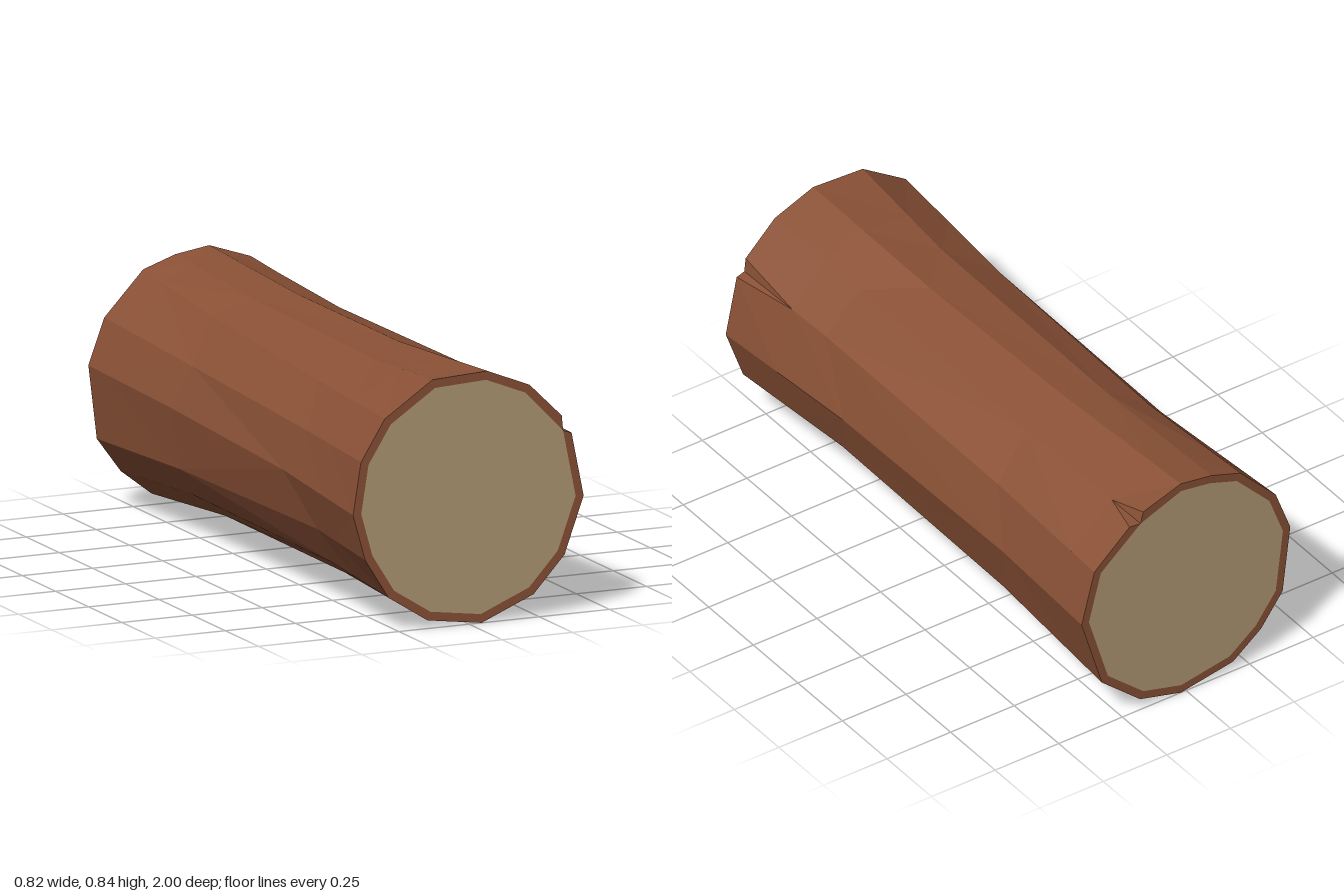
import * as THREE from 'three';

const CY = 0.422; // height of the log's axis
const N = 14;

// Outlines of the two sawn ends, clockwise seen from the front
const FRONT = [[0.065, 0.833], [0.215, 0.773], [0.35, 0.63], [0.408, 0.388], [0.34, 0.2],
  [0.23, 0.08], [0.045, 0.003], [-0.148, 0.03], [-0.287, 0.118], [-0.37, 0.25],
  [-0.413, 0.402], [-0.385, 0.575], [-0.3, 0.71], [-0.13, 0.823]];
const BACK = [[0.02, 0.84], [0.195, 0.77], [0.36, 0.63], [0.41, 0.44], [0.33, 0.175],
  [0.18, 0.045], [0.02, 0.003], [-0.185, 0.04], [-0.295, 0.125], [-0.38, 0.24],
  [-0.41, 0.485], [-0.353, 0.638], [-0.215, 0.783], [-0.1, 0.822]];

// Wedge-shaped cracks: the two lips, the floor and the depth of the tip
const CRACKS = {
  front: { col: 2, z: 1, tip: 0.73, a: [0.33, 0.66], b: [0.365, 0.6], floor: [0.335, 0.61] },
  back: { col: 1, z: -1, tip: -0.86, a: [0.168, 0.79], b: [0.222, 0.752], floor: [0.178, 0.748] },
};

const v = ([x, y], z) => new THREE.Vector3(x, y, z);

// Small seeded generator for the hewn unevenness, -1..1
function seeded(seed) {
  return () => {
    seed = (seed * 16807) % 2147483647;
    return (seed / 2147483647) * 2 - 1;
  };
}

function meshFromTriangles(name, points, material) {
  const geometry = new THREE.BufferGeometry().setFromPoints(points);
  geometry.computeVertexNormals();
  const mesh = new THREE.Mesh(geometry, material);
  mesh.name = name;
  return mesh;
}

// Lengthwise edges of the bark, narrowing toward the middle
function makeColumns() {
  const rand = seeded(41);
  return FRONT.map((f, k) => {
    const front = v(f, 1), back = v(BACK[k], -1);
    const waist = (z) => {
      const p = front.clone().lerp(back, (1 - z) / 2);
      const s = 0.925 + rand() * 0.012;
      return new THREE.Vector3(p.x * s, CY + (p.y - CY) * s, z);
    };
    const m1 = waist(0.48 + rand() * 0.11);
    const m2 = waist(-0.46 + rand() * 0.1);
    const at = (p, q, z) => p.clone().lerp(q, (z - p.z) / (q.z - p.z));
    return [front, at(front, m1, CRACKS.front.tip), m1, m2,
      at(m2, back, CRACKS.back.tip), back];
  });
}

// A column with its end corners moved to one lip of a crack
function lipColumn(columns, k, lip) {
  const col = columns[k].slice();
  if (k === CRACKS.front.col) col[0] = v(CRACKS.front[lip], 1);
  if (k === CRACKS.back.col) col[5] = v(CRACKS.back[lip], -1);
  return col;
}

// Inner edge of the bark at one end
function innerRing(outline, crack) {
  return outline.map(([x, y], k) => (k === crack.col ? crack.floor
    : [x * 0.93, CY + (y - CY) * 0.93]));
}

export function createModel() {
  const group = new THREE.Group();
  group.name = 'log';
  const bark = new THREE.MeshStandardMaterial({ color: 0x8a5136, flatShading: true, side: THREE.DoubleSide });
  const wood = new THREE.MeshStandardMaterial({ color: 0xb39a75, flatShading: true, side: THREE.DoubleSide });
  const columns = makeColumns();

  // Bark, alternating the diagonal so the facets look chopped
  const skin = [];
  for (let k = 0; k < N; k++) {
    const l = lipColumn(columns, k, 'b');
    const r = lipColumn(columns, (k + 1) % N, 'a');
    for (let j = 0; j < 5; j++) {
      if ((k + (j > 2 ? 1 : 0)) % 2) skin.push(l[j], r[j], l[j + 1], r[j], r[j + 1], l[j + 1]);
      else skin.push(l[j], r[j], r[j + 1], l[j], r[j + 1], l[j + 1]);
    }
  }
  group.add(meshFromTriangles('bark', skin, bark));

  for (const [end, outline] of [['front', FRONT], ['back', BACK]]) {
    const crack = CRACKS[end], z = crack.z;
    const row = z > 0 ? 0 : 5;
    const inner = innerRing(outline, crack);

    // Bark rim around the sawn face
    const rim = [];
    for (let k = 0; k < N; k++) {
      const n = (k + 1) % N;
      const o1 = lipColumn(columns, k, 'b')[row], o2 = lipColumn(columns, n, 'a')[row];
      const i1 = v(inner[k], z), i2 = v(inner[n], z);
      if (z > 0) rim.push(o1, i1, o2, o2, i1, i2);
      else rim.push(o1, o2, i1, o2, i2, i1);
    }
    group.add(meshFromTriangles(end + 'Rim', rim, bark));

    // Two walls of the crack, meeting at its tip
    const tip = columns[crack.col][z > 0 ? 1 : 4];
    const a = v(crack.a, z), b = v(crack.b, z), floor = v(crack.floor, z);
    const walls = z > 0 ? [a, floor, tip, floor, b, tip] : [a, tip, floor, floor, tip, b];
    group.add(meshFromTriangles(end + 'Crack', walls, bark));

    // Sawn wood face
    const shape = new THREE.Shape(inner.map(([x, y]) => new THREE.Vector2(x * z, y)));
    const face = new THREE.Mesh(new THREE.ShapeGeometry(shape), wood);
    face.name = end + 'Face';
    face.position.z = z;
    if (z < 0) face.rotation.y = Math.PI;
    group.add(face);
  }
  return group;
}
